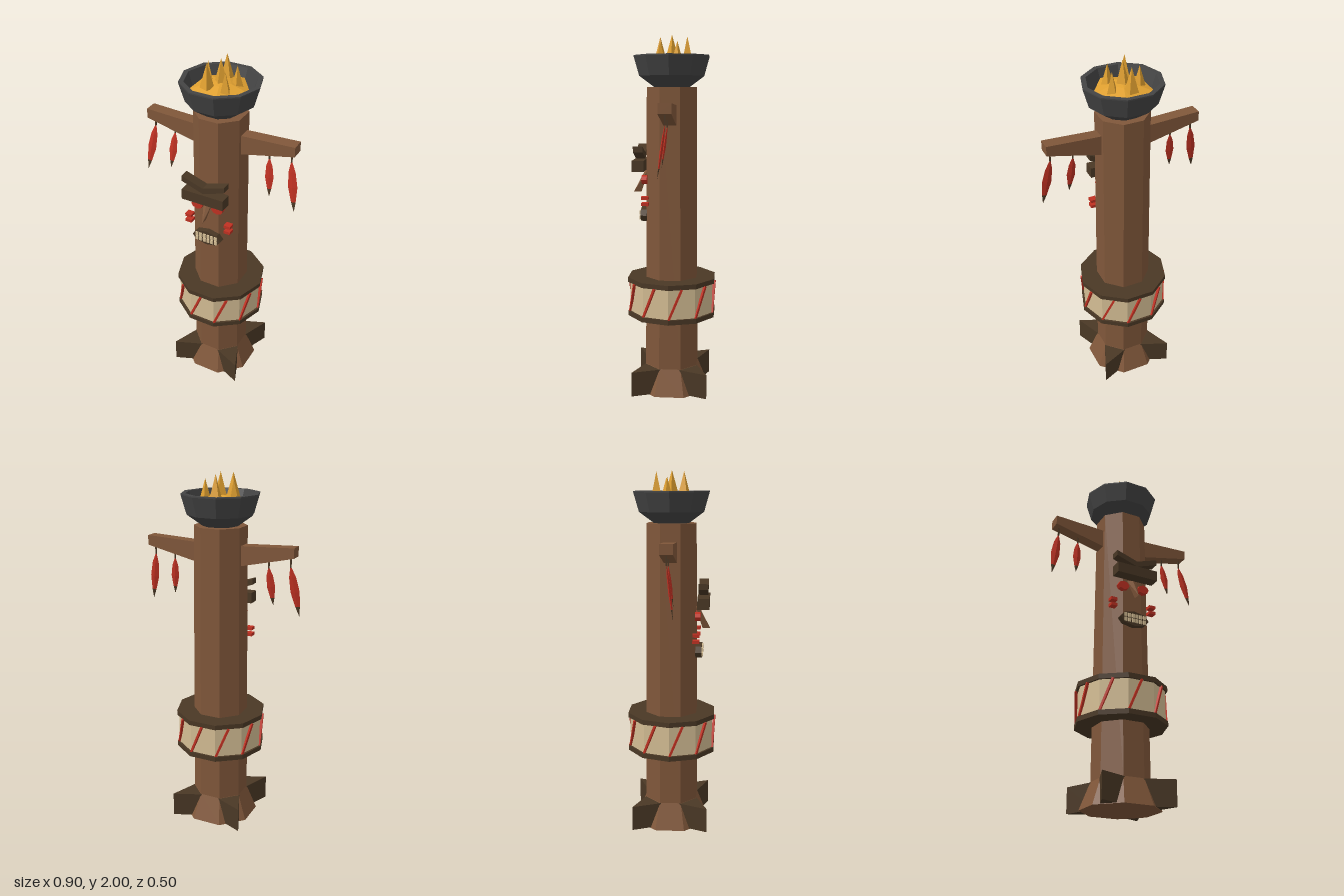
import * as THREE from 'three';
import { ConvexGeometry } from 'three/addons/geometries/ConvexGeometry.js';

const mat = (name, color) => {
  const m = new THREE.MeshStandardMaterial({ color });
  m.name = name;
  return m;
};

export function createModel() {
  const wood = mat('wood', 0x80573a);
  const darkWood = mat('darkWood', 0x4a3825);
  const iron = mat('iron', 0x444444);
  const gold = mat('gold', 0xe0a030);
  const red = mat('red', 0xc03122);
  const hide = mat('hide', 0xd4bd94);
  const root = new THREE.Group();
  root.name = 'totem';

  // Adds a mesh with faceted normals
  const add = (name, geometry, material, parent = root) => {
    const g = geometry.index ? geometry.toNonIndexed() : geometry;
    g.computeVertexNormals();
    const mesh = new THREE.Mesh(g, material);
    mesh.name = name;
    parent.add(mesh);
    return mesh;
  };
  const lathe = (pts, sides, start) =>
    new THREE.LatheGeometry(pts.map(p => new THREE.Vector2(...p)), sides, start);
  const box = (w, h, d, x = 0, y = 0, z = 0) => new THREE.BoxGeometry(w, h, d).translate(x, y, z);
  const slab = (pts, depth, z = 0) =>
    new THREE.ExtrudeGeometry(new THREE.Shape(pts.map(p => new THREE.Vector2(...p))),
      { depth, bevelEnabled: false }).translate(0, 0, z);

  // Octagonal post with flared foot
  add('post', lathe([[0, 0], [0.215, 0], [0.157, 0.145], [0.144, 1.72], [0, 1.72]], 8, Math.PI / 8), wood);

  // Wedge roots on the diagonals
  for (let i = 0; i < 4; i++) {
    const g = slab([[0, 0.297], [-0.075, 0.12], [0.075, 0.12]], 0.14)
      .rotateX(Math.PI / 2).translate(0, 0.143, 0);
    add('root', g, darkWood).rotation.y = Math.PI / 4 + i * Math.PI / 2;
  }

  // Drum around the post: hide wall, two hoops, slanted lacing
  add('drumSkin', lathe([[0.243, 0.45], [0.243, 0.65]], 10, Math.PI / 2), hide);
  for (const y of [0.438, 0.633]) {
    add('drumHoop', lathe([[0.12, y], [0.255, y], [0.255, y + 0.027], [0.12, y + 0.027]], 10, Math.PI / 2), darkWood);
  }
  for (let i = 0; i < 10; i++) {
    const g = box(0.012, 0.185, 0.014).rotateZ(-0.4).translate(0, 0.549, 0.241);
    add('drumLacing', g, red).rotation.y = (-9 + 36 * i) * Math.PI / 180;
  }

  // Fire bowl
  add('bowl', lathe([[0, 1.715], [0.1, 1.72], [0.183, 1.78], [0.213, 1.883], [0.213, 1.89],
    [0.187, 1.89], [0.16, 1.81], [0, 1.79]], 10, Math.PI / 2), iron);

  // Glowing mound and flame spikes
  add('embers', lathe([[0.168, 1.81], [0.165, 1.845], [0.06, 1.875], [0, 1.885]], 5, Math.PI / 2), gold);
  [[0, 0, 2], [-0.01, -0.083, 1.993], [0.073, -0.035, 1.963], [0.055, 0.06, 1.965],
    [-0.042, 0.068, 1.993], [-0.083, -0.02, 1.963]].forEach(([x, z, top], i) => {
    const g = new THREE.ConeGeometry(0.037, 0.13, 4).rotateY(i * 0.9).translate(x, top - 0.065, z);
    add('flame', g, gold);
  });

  // Tapered arms with hanging feathers
  const feather = (x, top, length, width, lean) => {
    const f = new THREE.Group();
    f.name = 'feather';
    f.position.set(x, top, 0);
    f.rotation.set(-0.13, 0, lean);
    const split = -length * 0.8, r = width * 0.5;
    const vane = lathe([[r, split], [width, -length * 0.5], [width * 0.75, -length * 0.2], [0.003, 0]], 4);
    const tip = lathe([[0, -length], [r, split]], 4);
    add('featherVane', vane.scale(1, 1, 0.3), red, f);
    add('featherTip', tip.scale(1, 1, 0.3), darkWood, f);
    root.add(f);
    add('featherString', box(0.007, 0.055, 0.007, x, top + 0.025, 0), darkWood);
  };
  for (const s of [-1, 1]) {
    add('arm', slab([[s * 0.1, 1.622], [s * 0.43, 1.637], [s * 0.43, 1.583], [s * 0.1, 1.508]], 0.07, -0.035), wood);
    feather(s * 0.402, 1.53, 0.278, 0.026, s * 0.16);
    feather(s * 0.28, 1.515, 0.213, 0.024, s * 0.09);
  }

  // Brow: angry V above a straight bar
  add('browRidge', slab([[-0.125, 1.402], [0, 1.36], [0.125, 1.402], [0.125, 1.37], [0, 1.327], [-0.125, 1.37]],
    0.053, 0.15), darkWood);
  add('browBar', box(0.246, 0.06, 0.066, 0, 1.293, 0.178), darkWood);

  // Eyes and cheek marks
  for (const s of [-1, 1]) {
    const eye = new THREE.CylinderGeometry(0.034, 0.034, 0.03, 8).rotateX(Math.PI / 2).scale(1, 0.75, 1);
    add('eye', eye.translate(s * 0.061, 1.215, 0.147), red);
    for (const y of [1.12, 1.085]) add('cheekMark', box(0.038, 0.017, 0.038, s * 0.119, y, 0.139), red);
  }

  // Wedge nose
  add('nose', new ConvexGeometry([[-0.03, 1.26, 0.135], [0.03, 1.26, 0.135], [0, 1.26, 0.152],
    [0, 1.14, 0.215], [0, 1.14, 0.172]].map(p => new THREE.Vector3(...p))), wood);

  // Mouth with two rows of teeth
  const mouth = new THREE.CylinderGeometry(0.087, 0.087, 0.035, 8).rotateX(Math.PI / 2).scale(1, 0.5, 1);
  add('mouth', mouth.translate(0, 1.015, 0.152), darkWood);
  for (let i = 0; i < 6; i++) {
    const x = (i - 2.5) * 0.023;
    for (const s of [-1, 1]) add('tooth', box(0.016, 0.022, 0.012, x, 1.015 + s * 0.014, 0.17), hide);
  }
  return root;
}
